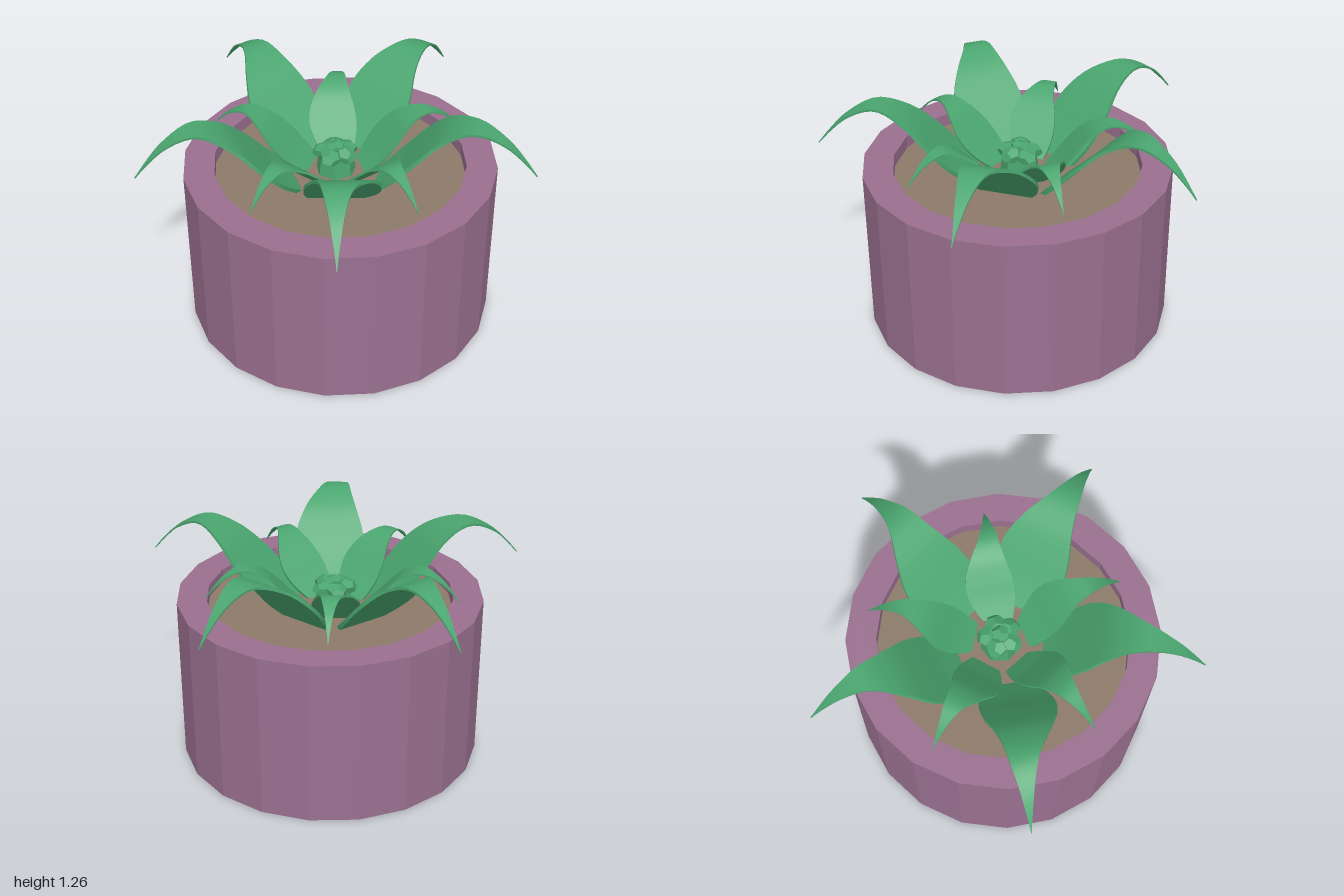
import * as THREE from 'three';
import { toCreasedNormals } from 'three/addons/utils/BufferGeometryUtils.js';

const paint = (color, flatShading = false) => new THREE.MeshStandardMaterial({ color, flatShading });
const POT = paint(0x9a7090, true);
const SOIL = paint(0x8c7a68, true);
const LEAF = paint(0x4aa56f);
const BUD = paint(0x4aa56f, true);

const SIDES = 20;

function ringPoints(radius) {
  return Array.from({ length: SIDES }, (_, i) => {
    const a = (i / SIDES) * Math.PI * 2;
    return new THREE.Vector2(Math.cos(a) * radius, Math.sin(a) * radius);
  });
}

// Arching blade along +x: a rectangular section swept over a midline, tapering to a point
function leafGeometry() {
  const arch = new THREE.CatmullRomCurve3([
    [0.17, -0.02, 0.02], [0.35, 0.15, -0.02], [0.46, 0.27, -0.035], [0.6, 0.4, -0.03],
    [0.75, 0.455, -0.005], [0.9, 0.395, 0], [1.0, 0.305, 0], [1.065, 0.23, 0],
  ].map((p) => new THREE.Vector3(...p)));
  // half widths at even steps along the midline
  const widths = new THREE.SplineCurve(
    [0.1, 0.155, 0.19, 0.185, 0.14, 0.085, 0.045, 0.02, 0.002].map((w, i) => new THREE.Vector2(i, w)));
  const rows = 28;
  const positions = [];
  const index = [];
  for (let i = 0; i <= rows; i++) {
    const t = i / rows;
    const p = arch.getPointAt(t);
    const d = arch.getTangentAt(t);
    const up = new THREE.Vector3(-d.y, d.x, 0).normalize();
    const w = Math.max(widths.getPoint(t).y, 0.002);
    const h = 0.013 * (1 - 0.8 * t);
    for (const [side, lift] of [[-1, 1], [1, 1], [1, -1], [-1, -1]]) {
      positions.push(p.x + up.x * h * lift, p.y + up.y * h * lift, p.z + side * w);
    }
    if (i === rows) break;
    for (let k = 0; k < 4; k++) {
      const a = i * 4 + k;
      const b = i * 4 + ((k + 1) % 4);
      index.push(a, b, b + 4, a, b + 4, a + 4);
    }
  }
  const end = rows * 4;
  index.push(0, 2, 1, 0, 3, 2, end, end + 1, end + 2, end, end + 2, end + 3);
  const geometry = new THREE.BufferGeometry();
  geometry.setAttribute('position', new THREE.Float32BufferAttribute(positions, 3));
  geometry.setIndex(index);
  return toCreasedNormals(geometry, 0.6);
}

export function createModel() {
  const model = new THREE.Group();
  model.name = 'pottedPlant';
  const add = (parent, name, geometry, material) => {
    const mesh = new THREE.Mesh(geometry, material);
    mesh.name = name;
    parent.add(mesh);
    return mesh;
  };

  // Thick-walled pot with soil filling it almost to the rim
  const planter = new THREE.Group();
  planter.name = 'planter';
  planter.position.set(-0.07, 0, 0.06);
  model.add(planter);
  const wall = new THREE.Shape(ringPoints(0.83));
  wall.holes.push(new THREE.Path(ringPoints(0.668)));
  const potGeometry = new THREE.ExtrudeGeometry(wall, { depth: 0.92, bevelEnabled: false });
  potGeometry.rotateX(-Math.PI / 2);
  add(planter, 'pot', potGeometry, POT);
  const soilGeometry = new THREE.CylinderGeometry(0.668, 0.668, 0.85, SIDES);
  soilGeometry.translate(0, 0.425, 0);
  add(planter, 'soil', soilGeometry, SOIL);

  const plant = new THREE.Group();
  plant.name = 'plant';
  plant.position.set(-0.075, 0, 0.035);
  model.add(plant);

  // Two whorls of five leaves, the inner one smaller and turned between the outer
  const blade = leafGeometry();
  const whorls = [
    { name: 'outerLeaf', scale: 1, base: 0.8, start: -6 },
    { name: 'innerLeaf', scale: 0.66, base: 0.83, start: 31 },
  ];
  for (const { name, scale, base, start } of whorls) {
    for (let i = 0; i < 5; i++) {
      const leaf = add(plant, name, blade, LEAF);
      leaf.scale.setScalar(scale);
      leaf.position.y = base;
      leaf.rotation.y = -THREE.MathUtils.degToRad(start + i * 72);
    }
  }

  // Faceted bud in the heart of the rosette
  const core = add(plant, 'budCore', new THREE.CylinderGeometry(0.09, 0.11, 0.16, 7), BUD);
  core.position.y = 0.9;
  for (let i = 0; i < 5; i++) {
    const a = (i / 5) * Math.PI * 2 + 0.3;
    const petal = add(plant, 'budPetal', new THREE.DodecahedronGeometry(0.058), BUD);
    petal.position.set(Math.cos(a) * 0.07, 0.965 + 0.008 * (i % 2), Math.sin(a) * 0.07);
    petal.rotation.set(0.25 * Math.sin(a), -a, -0.2);
    petal.scale.y = 0.6;
  }
  const heart = add(plant, 'budHeart', new THREE.DodecahedronGeometry(0.05), BUD);
  heart.position.y = 0.995;
  heart.scale.y = 0.6;

  return model;
}
